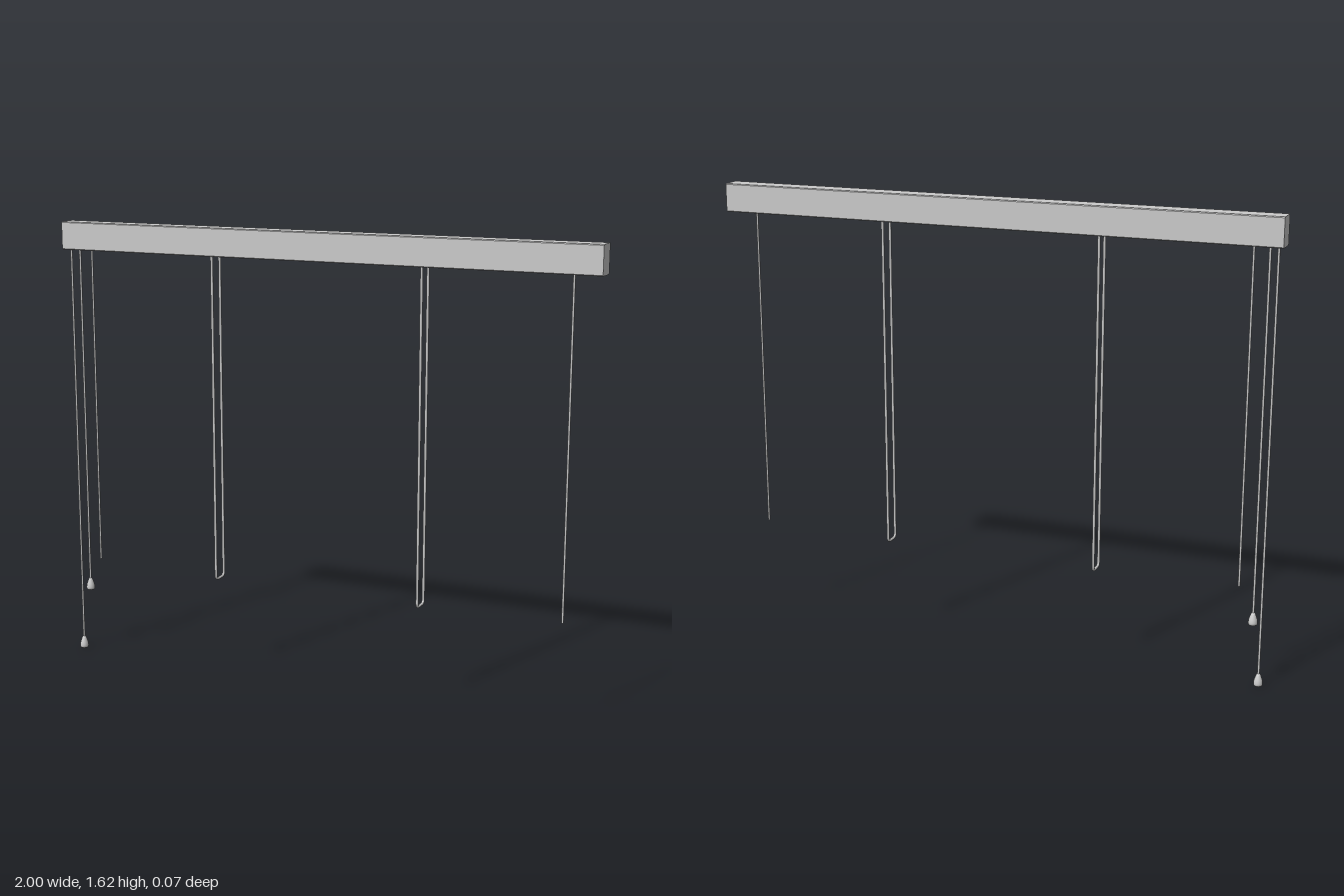
import * as THREE from 'three';

const material = new THREE.MeshStandardMaterial({ color: 0xcccccc, side: THREE.DoubleSide });
const RAIL_BOTTOM = 1.515, RAIL_TOP = 1.615, RAIL_HALF_DEPTH = 0.036;

export function createModel() {
  const group = new THREE.Group();
  const add = (name, geometry, x = 0, y = 0, z = 0) => {
    const mesh = new THREE.Mesh(geometry, material);
    mesh.name = name;
    mesh.position.set(x, y, z);
    group.add(mesh);
    return mesh;
  };

  // Head rail: box section with slightly eased long edges
  const d = RAIL_HALF_DEPTH, c = 0.003;
  const section = new THREE.Shape();
  section.moveTo(-d + c, RAIL_BOTTOM);
  section.lineTo(d - c, RAIL_BOTTOM);
  section.lineTo(d, RAIL_BOTTOM + c);
  section.lineTo(d, RAIL_TOP - c);
  section.lineTo(d - c, RAIL_TOP);
  section.lineTo(-d + c, RAIL_TOP);
  section.lineTo(-d, RAIL_TOP - c);
  section.lineTo(-d, RAIL_BOTTOM + c);
  section.closePath();
  const rail = new THREE.ExtrudeGeometry(section, { depth: 2, bevelEnabled: false });
  rail.translate(0, 0, -1).rotateY(Math.PI / 2);
  add('headRail', rail);

  // Straight round cord from the rail down to a given height
  const cord = (name, x, z, bottom, radius) => {
    const length = RAIL_BOTTOM + 0.01 - bottom;
    add(name, new THREE.CylinderGeometry(radius, radius, length, 10), x, bottom + length / 2, z);
  };

  for (const side of [-1, 1]) {
    const label = side > 0 ? 'left' : 'right';
    cord(label + 'LiftCord', side * 0.898, 0, 0.357, 0.004);

    // Ladder cord: a long U with rounded lower corners
    const w = 0.029, low = 0.349, r = 0.016;
    const v = (y, z) => new THREE.Vector3(0, y, z);
    const loop = new THREE.CurvePath();
    loop.add(new THREE.LineCurve3(v(RAIL_BOTTOM + 0.01, w), v(low + r, w)));
    loop.add(new THREE.QuadraticBezierCurve3(v(low + r, w), v(low, w), v(low, w - r)));
    loop.add(new THREE.LineCurve3(v(low, w - r), v(low, -w + r)));
    loop.add(new THREE.QuadraticBezierCurve3(v(low, -w + r), v(low, -w), v(low + r, -w)));
    loop.add(new THREE.LineCurve3(v(low + r, -w), v(RAIL_BOTTOM + 0.01, -w)));
    add(label + 'LadderCord', new THREE.TubeGeometry(loop, 400, 0.005, 8), side * 0.391);
  }

  // Pull cords ending in teardrop tassels
  const profile = [[0, 0], [0.012, 0], [0.0155, 0.004], [0.016, 0.011], [0.014, 0.023],
    [0.009, 0.037], [0.006, 0.044], [0, 0.046]].map(([x, y]) => new THREE.Vector2(x, y));
  const pulls = [['long', -0.975, 0.015, 0], ['short', -0.952, -0.006, 0.228]];
  for (const [label, x, z, y] of pulls) {
    cord(label + 'PullCord', x, z, y + 0.04, 0.0042);
    add(label + 'PullTassel', new THREE.LatheGeometry(profile, 20), x, y, z);
  }
  return group;
}
